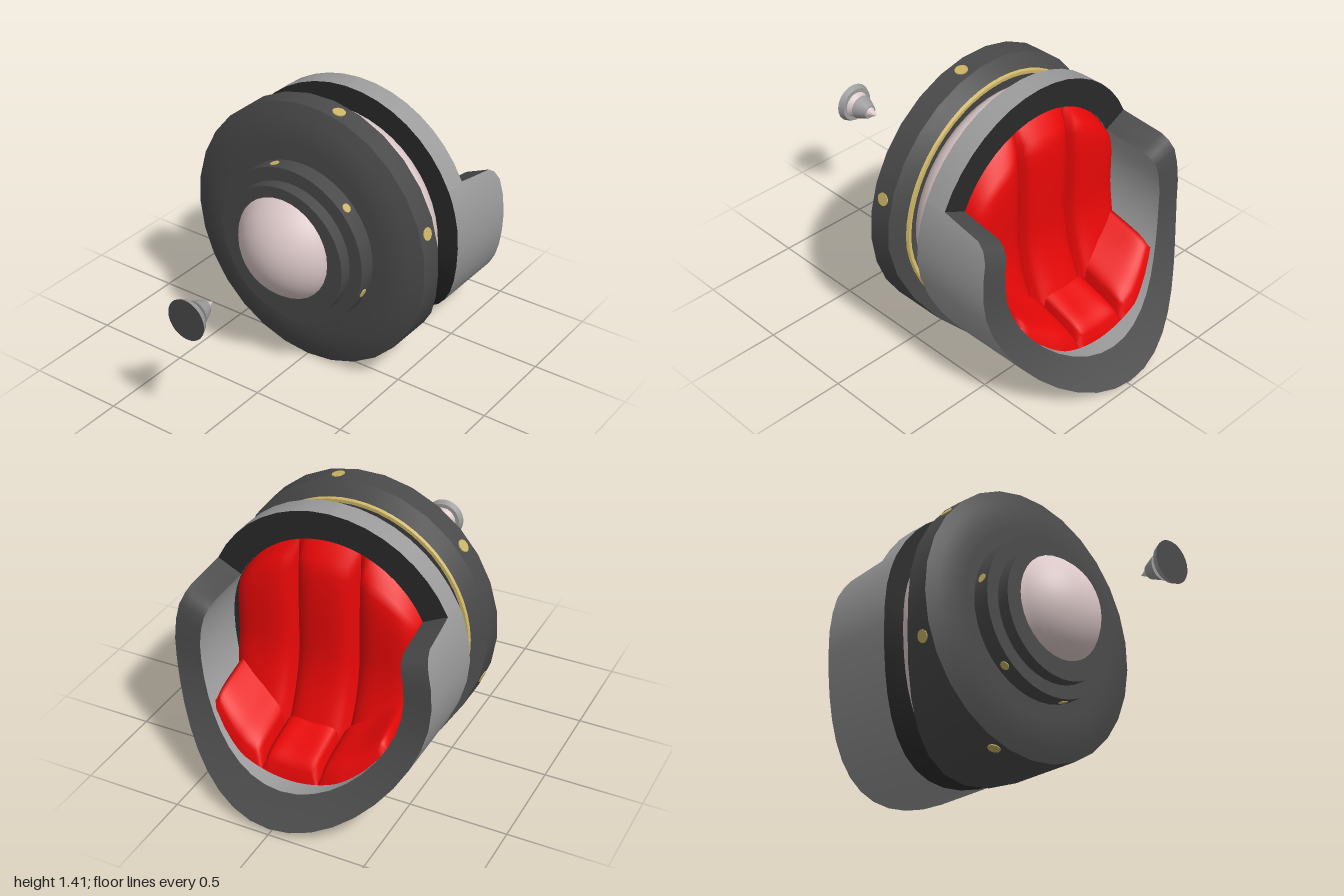
import * as THREE from 'three';
import { toCreasedNormals } from 'three/addons/utils/BufferGeometryUtils.js';

const CY = 0.705; // height of the pod axis

function makeMaterial(name, color) {
  const m = new THREE.MeshStandardMaterial({ color, side: THREE.DoubleSide });
  m.name = name;
  return m;
}

// The lower half of the pod sweeps backwards along a parabola
const sweep = (y) => (y > 0.72 ? 0 : 0.33 * ((0.72 - y) / 0.69) ** 2);

function sweepGeometry(geo) {
  const p = geo.attributes.position;
  for (let i = 0; i < p.count; i++) {
    if (p.getZ(i) < 0) p.setZ(i, p.getZ(i) - sweep(p.getY(i)));
  }
  return geo;
}

// Turned part around the z axis; profile is [radius, z] with z rising along the outside
function turned(profile, sides = 29, scaleX = 1, crease = 0.5) {
  const geo = new THREE.LatheGeometry(profile.map(([r, z]) => new THREE.Vector2(r, z)), sides);
  geo.rotateX(Math.PI / 2);
  geo.scale(scaleX, 1, 1);
  geo.translate(0, CY, 0);
  return toCreasedNormals(sweepGeometry(geo), crease);
}

// Surface over a grid of nu by nv cells
function grid(nu, nv, fn) {
  const pos = [], idx = [];
  for (let i = 0; i <= nu; i++) for (let j = 0; j <= nv; j++) pos.push(...fn(i, j));
  for (let i = 0; i < nu; i++) for (let j = 0; j < nv; j++) {
    const a = i * (nv + 1) + j, b = a + nv + 1;
    idx.push(a, b, a + 1, b, b + 1, a + 1);
  }
  const geo = new THREE.BufferGeometry();
  geo.setAttribute('position', new THREE.Float32BufferAttribute(pos, 3));
  geo.setIndex(idx);
  geo.computeVertexNormals();
  return geo;
}

export function createModel() {
  const group = new THREE.Group();
  const dark = makeMaterial('dark grey', 0x4a4a4a);
  const grey = makeMaterial('shell grey', 0x9c9c9c);
  const black = makeMaterial('charcoal', 0x2a2a2a);
  const pearl = makeMaterial('pale pink', 0xdcc8c8);
  const gold = makeMaterial('gold', 0xcdb566);
  const red = makeMaterial('red', 0xee0808);
  const add = (name, geo, mat, parent = group) => {
    const mesh = new THREE.Mesh(geo, mat);
    mesh.name = name;
    parent.add(mesh);
    return mesh;
  };

  // Front body with a chamfered back edge
  add('body', turned([
    [0.5, -0.07], [0.63, -0.1], [0.705, -0.04], [0.705, 0.08],
    [0.64, 0.105], [0.57, 0.124], [0.5, 0.13], [0, 0.13],
  ], 29, 0.965), dark);
  add('bodyTrim', turned([
    [0.612, -0.095], [0.615, -0.107], [0.632, -0.107], [0.638, -0.094],
  ], 58, 0.965), gold);

  // Stepped front rings and nose dome
  add('largeRing', turned([[0.4, 0.12], [0.42, 0.13], [0.42, 0.22], [0, 0.22]], 40), dark);
  add('smallRing', turned([[0.35, 0.21], [0.35, 0.285], [0, 0.285]], 40), dark);
  const dome = [];
  for (let i = 0; i <= 10; i++) {
    const a = (1 - i / 10) * Math.asin(0.27 / 0.318);
    dome.push([0.318 * Math.sin(a), 0.117 + 0.318 * Math.cos(a)]);
  }
  add('noseDome', turned(dome, 32, 0.985), pearl).position.y = 0.022;

  // Round gold studs on the body and the large ring
  function studs(name, angles, r, z, size, sx) {
    const set = new THREE.Group();
    set.name = name;
    for (const deg of angles) {
      const a = THREE.MathUtils.degToRad(deg);
      const stud = add('stud', new THREE.CylinderGeometry(size, size, 0.009, 16), gold, set);
      stud.position.set(r * sx * Math.cos(a), CY + r * Math.sin(a), z);
      stud.rotation.z = a - Math.PI / 2;
    }
    group.add(set);
  }
  studs('bodyStuds', [17, 78, 139, 200, 254, 307], 0.701, 0.02, 0.032, 0.965);
  studs('ringStuds', [45, 107, 169, 231, 286, 341], 0.418, 0.175, 0.023, 1);

  // Rounded coupling between body and seat
  add('coupling', turned([
    [0.5, -0.27], [0.55, -0.245], [0.575, -0.215], [0.59, -0.165], [0.58, -0.12], [0.55, -0.08], [0.5, -0.06],
  ], 48, 0.985, 1), pearl);

  // Seat shell: outer skin, rim and inner wall share one list of angles measured from the top
  const angles = [];
  for (let d = 0; d <= 64; d += 8) angles.push(d);
  angles.push(65, 67, 69.3, 73.8, 81);
  for (let d = 90; d <= 180; d += 9) angles.push(d);
  const around = [...angles, ...angles.slice(0, -1).reverse().map((d) => 360 - d)];
  const edge = [[64.3, -0.35], [65, -0.42], [67, -0.58], [69.3, -0.62], [73.8, -0.65], [88, -0.665], [181, -0.665]];
  function backEdge(deg) {
    const d = deg > 180 ? 360 - deg : deg;
    if (d <= edge[0][0]) return edge[0][1];
    const k = edge.findIndex((e) => e[0] >= d);
    const [d0, z0] = edge[k - 1], [d1, z1] = edge[k];
    return z0 + (z1 - z0) * (d - d0) / (d1 - d0);
  }
  const shellPoint = (deg, r, z) => {
    const a = THREE.MathUtils.degToRad(deg);
    const y = 0.71 + r * Math.cos(a);
    return [0.985 * r * Math.sin(a), y, z - sweep(y)];
  };
  const n = around.length - 1;
  const OUT = 0.68, IN = 0.54;
  const rim = (list) => grid(list.length - 1, 3,
    (i, j) => shellPoint(list[i], IN + (OUT - IN) * j / 3, backEdge(list[i])));
  add('shellOuter', grid(n, 1, (i, j) => shellPoint(around[i], OUT, j ? -0.23 : backEdge(around[i]))), grey);
  add('lowerRim', rim(around.filter((d) => d >= 64 && d <= 296)), dark);
  add('upperRim', rim([...angles.filter((d) => d > 0 && d <= 64).reverse().map((d) => -d),
    ...angles.filter((d) => d <= 64)]), black);
  add('shellInner', grid(n, 1, (i, j) => shellPoint(around[i], IN, j ? backEdge(around[i]) : -0.335)), grey);
  add('shellFront', grid(n, 8, (i, j) => shellPoint(around[i], OUT * (1 - j / 8), -0.23)), black);
  add('backWall', grid(n, 8, (i, j) => shellPoint(around[i], IN * j / 8, -0.342)), black);

  // Three padded backrest sections and three seat sections
  const N = 16;
  const puff = (t, power) => Math.sqrt(Math.max(0, 1 - Math.abs(2 * t - 1) ** power));
  [[-0.49, -0.16], [-0.16, 0.16], [0.16, 0.49]].forEach(([x0, x1]) => {
    add('backrestPad', grid(N, N, (i, j) => {
      const u = i / N, v = j / N;
      const x = x0 + (x1 - x0) * u;
      const y = CY + 0.54 * Math.sqrt(1 - (x / 0.53) ** 2) * (2 * v - 1);
      return [x, y, -0.345 - 0.095 * puff(u, 3) * puff(v, 5) - sweep(y)];
    }), red);
    add('seatPad', grid(N, N, (i, j) => {
      const u = i / N, v = j / N;
      const x = 0.93 * (x0 + (x1 - x0) * u);
      const floor = 0.715 - Math.sqrt(IN * IN - x * x);
      const start = -0.345 - sweep(floor);
      const end = Math.max(-0.79 + 0.1 * x * x, -0.66 - sweep(floor + 0.06));
      const thick = (0.18 - 0.09 * v) * Math.sqrt(puff(u, 4)) * Math.sqrt(1 - v ** 8);
      return [x, floor + thick, start + (end - start) * v];
    }), red);
  });

  // Detached cone ahead of the nose, pointing back at it
  const cone = new THREE.Group();
  cone.name = 'frontCone';
  add('coneTip', turned([[0, 0.81], [0.028, 0.867]], 20), pearl, cone);
  add('coneCollar', turned([[0, 0.865], [0.036, 0.865], [0.066, 0.935], [0, 0.935]], 20), grey, cone);
  add('coneWaist', turned([[0.045, 0.933], [0.072, 0.972]], 20), pearl, cone);
  add('coneBase', turned([[0, 0.97], [0.092, 0.97], [0.105, 1]], 28), grey, cone);
  add('coneFace', turned([[0.105, 1], [0, 1]], 28), dark, cone);
  group.add(cone);

  return group;
}
